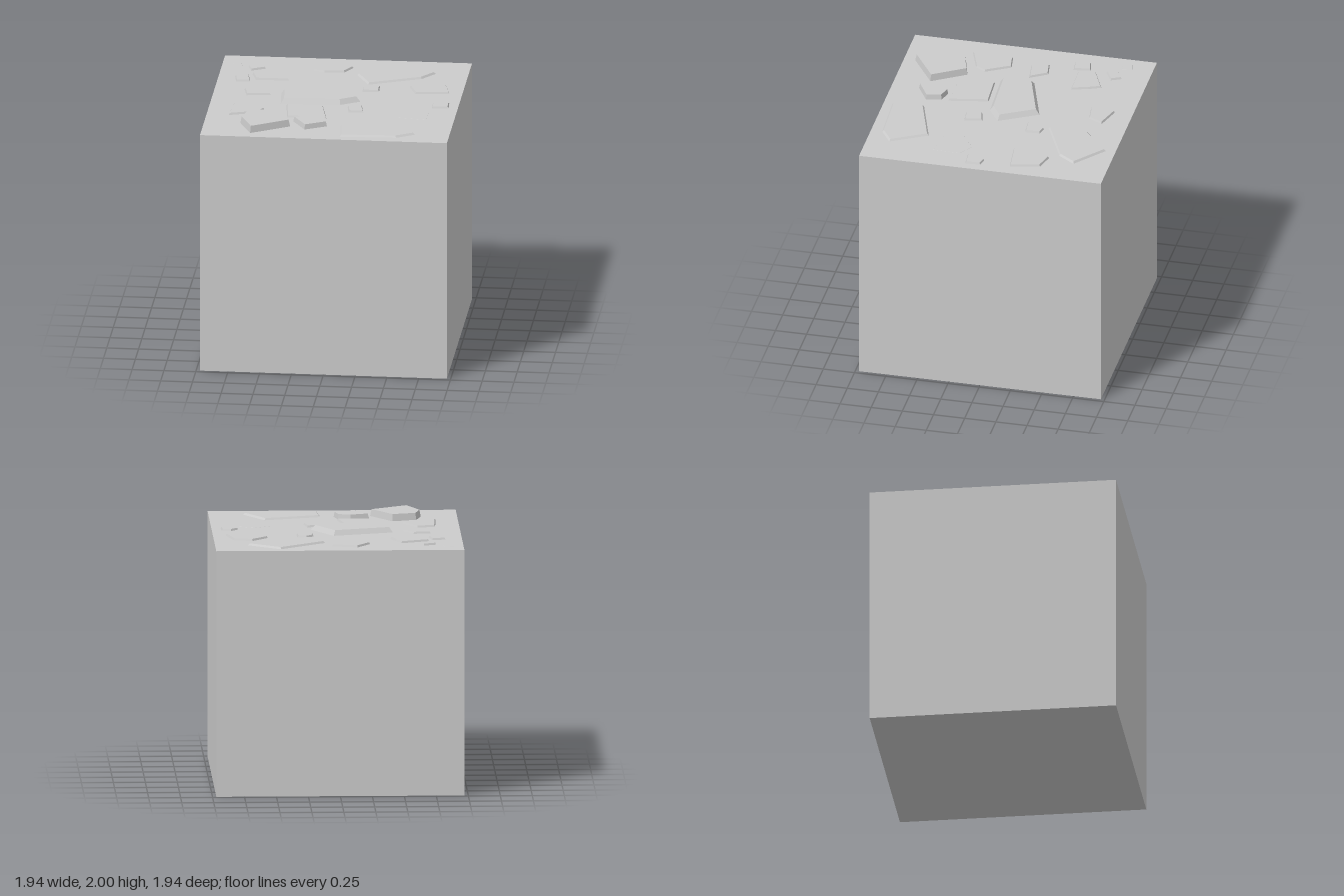
import * as THREE from 'three';
import { ConvexGeometry } from 'three/addons/geometries/ConvexGeometry.js';

const HALF = 0.97, TOP = 1.945;
const material = new THREE.MeshStandardMaterial({ color: 0xcccccc, flatShading: true });

// Stone outlines: corners [x, z] measured from the first corner, which is at the origin
const outlines = {
  wedge: [[0.44, -0.14], [0.6, 0.14], [0.46, 0.23], [0.02, 0.25]],
  boulder: [[0.04, -0.16], [0.23, -0.215], [0.395, 0.045], [0.1, 0.235]],
  house: [[0.125, -0.14], [0.27, -0.1], [0.325, 0.13], [0.06, 0.16]],
  pebble: [[0.055, -0.065], [0.127, -0.047], [0.132, 0.07], [0.002, 0.08]],
  kite: [[0.105, -0.16], [0.305, -0.1], [0.245, 0.015], [0.09, 0.035]],
  blade: [[0.14, -0.02], [0.25, 0.17], [0.2, 0.25], [-0.015, 0.325]],
  shard: [[0.22, -0.095], [0.26, 0], [0.3, 0.13], [0.04, 0.135]],
  tile: [[0.11, -0.025], [0.135, 0.115], [0.02, 0.125]],
  slab: [[0.285, -0.015], [0.345, 0.295], [0.035, 0.285]],
  chip: [[0.135, -0.02], [0.22, 0.115], [0.03, 0.14]],
  cube: [[0.1, -0.05], [0.14, 0.03], [0.03, 0.09]],
};

// Move each corner inwards so every edge shifts by the same distance
function insetOutline(points, d) {
  const n = points.length;
  const normal = (a, b) => new THREE.Vector2(a.y - b.y, b.x - a.x).normalize();
  return points.map((p, i) => {
    const a = normal(points[(i + n - 1) % n], p);
    const b = normal(p, points[(i + 1) % n]);
    return a.clone().add(b).multiplyScalar(d / (1 + a.dot(b))).add(p);
  });
}

// Flat stone with sloping sides, sunk slightly into the block; turn is in degrees
function makeStone(shape, x, z, { scale = 1, turn = 0, height = 0.015, inset = 0.007 } = {}) {
  const origin = new THREE.Vector2();
  const place = new THREE.Vector2(x, z);
  const base = [[0, 0], ...outlines[shape]].map(([px, pz]) =>
    new THREE.Vector2(px, pz).multiplyScalar(scale)
      .rotateAround(origin, THREE.MathUtils.degToRad(turn)).add(place));
  const ring = (points, y) => points.map((p) => new THREE.Vector3(p.x, y, p.y));
  const stone = new THREE.Mesh(new ConvexGeometry([
    ...ring(base, TOP - 0.005),
    ...ring(base, TOP),
    ...ring(insetOutline(base, inset), TOP + height),
  ]), material);
  stone.name = `${shape}Stone`;
  return stone;
}

export function createModel() {
  const model = new THREE.Group();
  model.name = 'stoneBlock';

  // Main cube
  const block = new THREE.Mesh(new THREE.BoxGeometry(2 * HALF, TOP, 2 * HALF), material);
  block.name = 'block';
  block.position.y = TOP / 2;
  model.add(block);

  const stones = new THREE.Group();
  stones.name = 'pavingStones';
  const flush = { height: 0.001, inset: 0.001 };
  stones.add(
    // Back rows
    makeStone('cube', -0.76, -0.71),
    makeStone('shard', -0.71, -0.54),
    makeStone('tile', -0.84, -0.47, { scale: 0.96 }),
    makeStone('kite', -0.245, -0.665),
    makeStone('wedge', 0.105, -0.6, { turn: -21.5, inset: 0.012 }),
    makeStone('house', 0.545, -0.345),
    makeStone('tile', -0.89, -0.795, { scale: 0.6, ...flush }),
    // Middle
    makeStone('pebble', 0.185, -0.28),
    makeStone('chip', -0.735, -0.165),
    makeStone('wedge', -0.44, -0.11, { scale: 1.06, height: 0.04, inset: 0.026 }),
    makeStone('blade', -0.78, 0.14),
    makeStone('slab', -0.37, 0.19),
    makeStone('tile', 0.11, 0.18),
    makeStone('pebble', 0.765, 0.065),
    makeStone('house', 0.49, 0.235, { scale: 0.92, turn: 15, ...flush }),
    // Front row
    makeStone('boulder', -0.685, 0.645, { height: 0.055, inset: 0.009 }),
    makeStone('boulder', -0.13, 0.51, { scale: 0.62, turn: 93, height: 0.04 }),
    makeStone('wedge', 0.1, 0.65, { inset: 0.013 }),
  );
  model.add(stones);

  return model;
}
